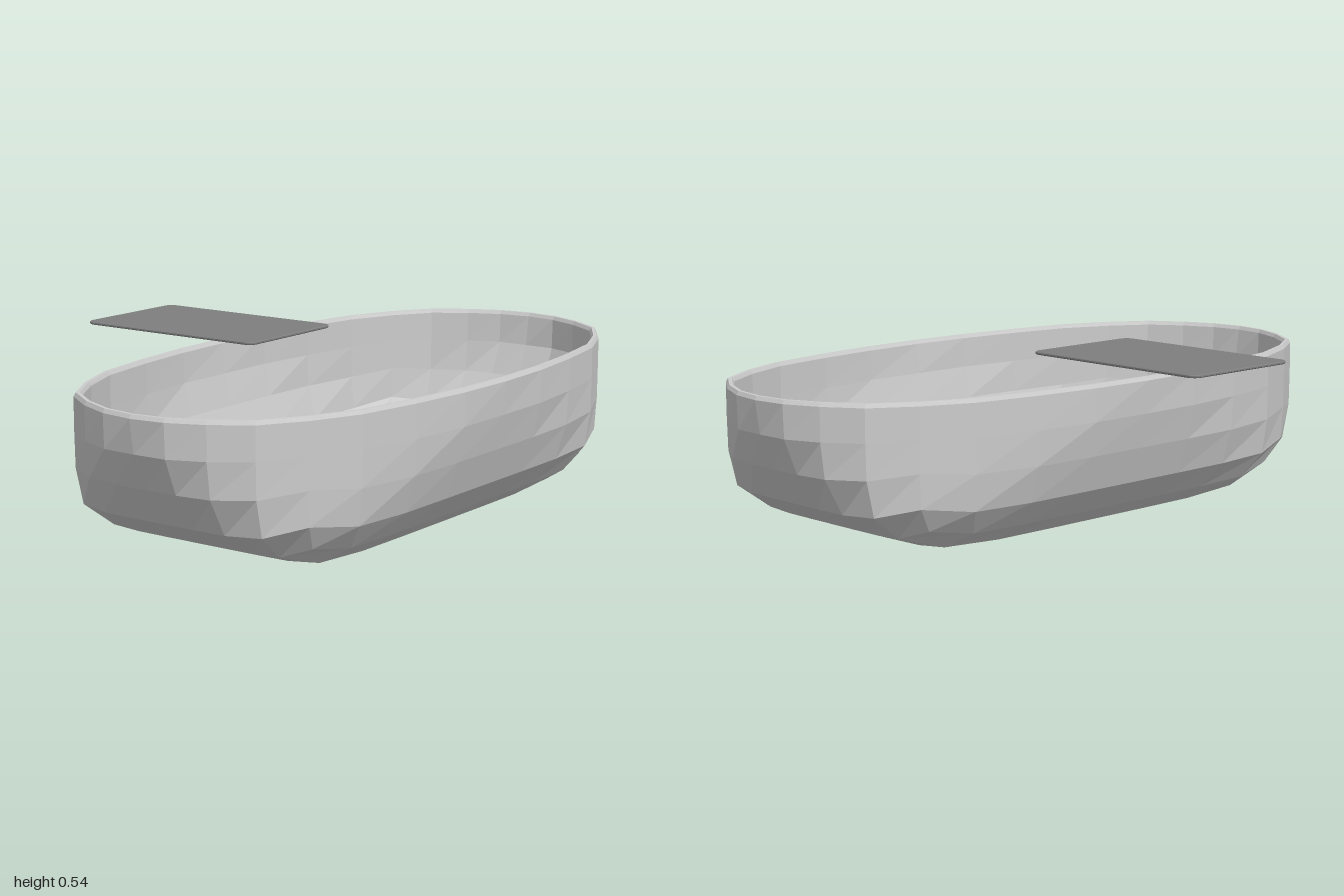
import * as THREE from 'three';

// Section of the rounded box: distance along a side, and how far that side has curved in
const ALONG = [0, 0.2, 0.4, 0.6, 0.75];
const CURVE = [0, 0.014, 0.058, 0.128, 0.25];
const N = 4;

// Height of a face above the centre, and sideways position on it, at grid point (i, j)
const bulge = (i, j) => 1 - Math.hypot(CURVE[Math.abs(i)] ** 1.75, CURVE[Math.abs(j)] ** 1.75) ** (1 / 1.75);
const across = (i, j) => Math.sign(i) * ALONG[Math.abs(i)] * bulge(N, j) / bulge(N, 0);
const deepen = d => d + 0.52 * d ** 3 * (1 - d); // fuller towards the floor

// Point on the wall of one of the four sides: i runs along it, j downwards
function wallPoint(side, i, j) {
  let x = across(i, j), z = bulge(i, j);
  for (let k = 0; k < side; k++) [x, z] = [z, -x];
  return new THREE.Vector3(x, -deepen(across(j, i)), z);
}
const floorPoint = (i, j) => new THREE.Vector3(across(i, j), -deepen(bulge(i, j)), across(j, i));

// Open bowl of unit radius as outward-facing quads, with its rim loop
function roundedBowl() {
  const quads = [], rim = [];
  for (let i = -N; i < N; i++) {
    for (let j = -N; j < N; j++) {
      quads.push([floorPoint(i, j), floorPoint(i + 1, j), floorPoint(i + 1, j + 1), floorPoint(i, j + 1)]);
    }
  }
  for (let side = 0; side < 4; side++) {
    for (let i = -N; i < N; i++) {
      rim.unshift(wallPoint(side, i, 0));
      for (let j = 0; j < N; j++) {
        quads.push([wallPoint(side, i, j + 1), wallPoint(side, i + 1, j + 1),
          wallPoint(side, i + 1, j), wallPoint(side, i, j)]);
      }
    }
  }
  return { quads, rim };
}

// Faceted geometry from quads of points
function facets(quads) {
  const pos = [];
  quads.forEach(([a, b, c, d]) => [a, b, c, a, c, d].forEach(p => pos.push(p.x, p.y, p.z)));
  const g = new THREE.BufferGeometry();
  g.setAttribute('position', new THREE.Float32BufferAttribute(pos, 3));
  g.computeVertexNormals();
  return g;
}

export function createModel() {
  const group = new THREE.Group();
  const basinGrey = new THREE.MeshStandardMaterial({ color: 0xcccccc });
  basinGrey.name = 'light grey';
  const trayGrey = new THREE.MeshStandardMaterial({ color: 0x7e7e7e });
  trayGrey.name = 'dark grey';
  const add = (name, geometry, material) => {
    const mesh = new THREE.Mesh(geometry, material);
    mesh.name = name;
    group.add(mesh);
    return mesh;
  };

  // Basin walls: outer skin and an inner skin set in by the wall thickness
  const bowl = roundedBowl();
  const rimY = 0.474, centreZ = 0.157;
  const place = (p, inset, floor, top) => new THREE.Vector3(
    p.x * (1 - inset), top + p.y * (top - floor), centreZ + p.z * (0.515 - inset));
  const skin = (inset, floor) => bowl.quads.map(q => q.map(p => place(p, inset, floor, rimY)));
  add('basinOuter', facets(skin(0, 0)), basinGrey);
  add('basinInner', facets(skin(0.022, 0.02).map(q => q.reverse())), basinGrey);

  // Rim: bevelled strip joining both skins
  const loops = [[0, rimY], [0.006, 0.485], [0.016, 0.485], [0.022, rimY]]
    .map(([inset, y]) => bowl.rim.map(p => place(p, inset, 0, y)));
  const strip = [];
  for (let k = 0; k < loops.length - 1; k++) {
    bowl.rim.forEach((_, i) => {
      const j = (i + 1) % bowl.rim.length;
      strip.push([loops[k][i], loops[k + 1][i], loops[k + 1][j], loops[k][j]]);
    });
  }
  add('basinRim', facets(strip), basinGrey);

  // Tray: thin plate with rounded corners and softened edges above the back edge
  const w = 0.195, h = 0.315, r = 0.025;
  const outline = new THREE.Shape();
  outline.absarc(w - r, h - r, r, 0, Math.PI / 2);
  outline.absarc(-w + r, h - r, r, Math.PI / 2, Math.PI);
  outline.absarc(-w + r, -h + r, r, Math.PI, Math.PI * 1.5);
  outline.absarc(w - r, -h + r, r, Math.PI * 1.5, Math.PI * 2);
  const plate = new THREE.ExtrudeGeometry(outline, {
    depth: 0.004, bevelThickness: 0.0025, bevelSize: 0.003, bevelSegments: 1, curveSegments: 4,
  });
  plate.rotateX(-Math.PI / 2);
  add('tray', plate, trayGrey).position.set(-0.042, 0.5345, -0.357);

  return group;
}
